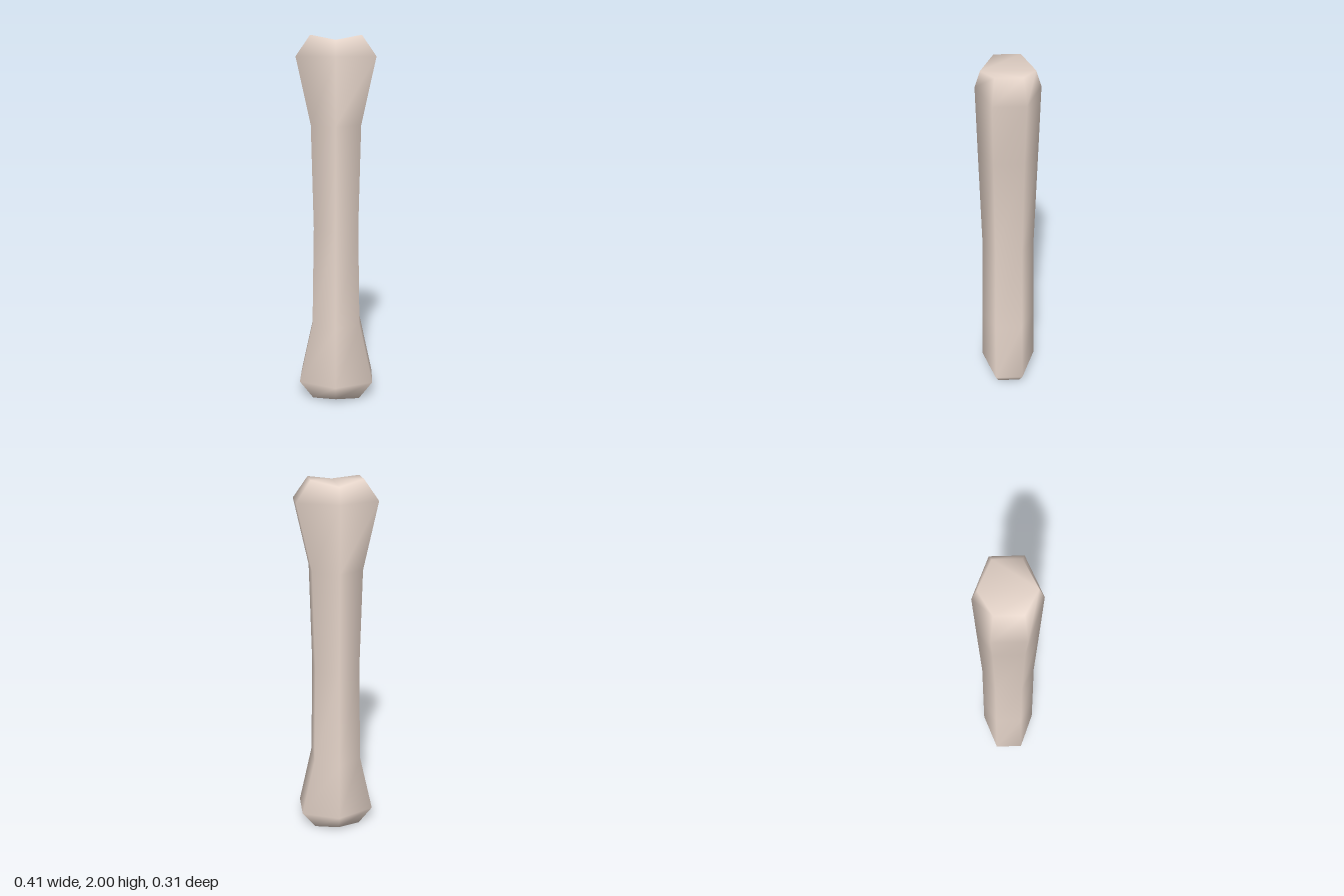
import * as THREE from 'three';

// Rings from bottom to top: [half width, half depth, y at the sides, y at the middle]
const RINGS = [
  [0.13, 0.13, 0, 0.025],
  [0.204, 0.157, 0.105, 0.105],
  [0.13, 0.151, 0.45, 0.45],
  [0.119, 0.14, 1, 1],
  [0.13, 0.151, 1.55, 1.55],
  [0.204, 0.157, 1.895, 1.895],
  [0.13, 0.13, 2, 1.975],
];

// Six-sided section: one point at the front and back, two on each side
const SECTION = [[0, 1], [1, 0.5], [1, -0.5], [0, -1], [-1, -0.5], [-1, 0.5]];

function createBoneGeometry() {
  const positions = [];
  const index = [];
  const n = SECTION.length;
  for (const [w, d, ySide, yMid] of RINGS) {
    for (const [sx, sz] of SECTION) positions.push(sx * w, sx === 0 ? yMid : ySide, sz * d);
  }

  // Shaft and flared ends
  for (let r = 0; r < RINGS.length - 1; r++) {
    for (let i = 0; i < n; i++) {
      const a = r * n + i;
      const b = r * n + (i + 1) % n;
      index.push(a, b, b + n, a, b + n, a + n);
    }
  }

  // End caps, each folded along a shallow valley into two knuckles
  const top = (RINGS.length - 1) * n;
  for (const [a, b, c] of [[0, 1, 2], [0, 2, 3], [0, 3, 4], [0, 4, 5]]) {
    index.push(top + a, top + b, top + c);
    index.push(a, c, b);
  }

  const geometry = new THREE.BufferGeometry();
  geometry.setAttribute('position', new THREE.Float32BufferAttribute(positions, 3));
  geometry.setIndex(index);
  geometry.computeVertexNormals();
  return geometry;
}

export function createModel() {
  const group = new THREE.Group();
  group.name = 'bone';
  const bone = new THREE.Mesh(
    createBoneGeometry(),
    new THREE.MeshStandardMaterial({ color: 0xe6d5ca }),
  );
  bone.name = 'boneShaft';
  group.add(bone);
  return group;
}
